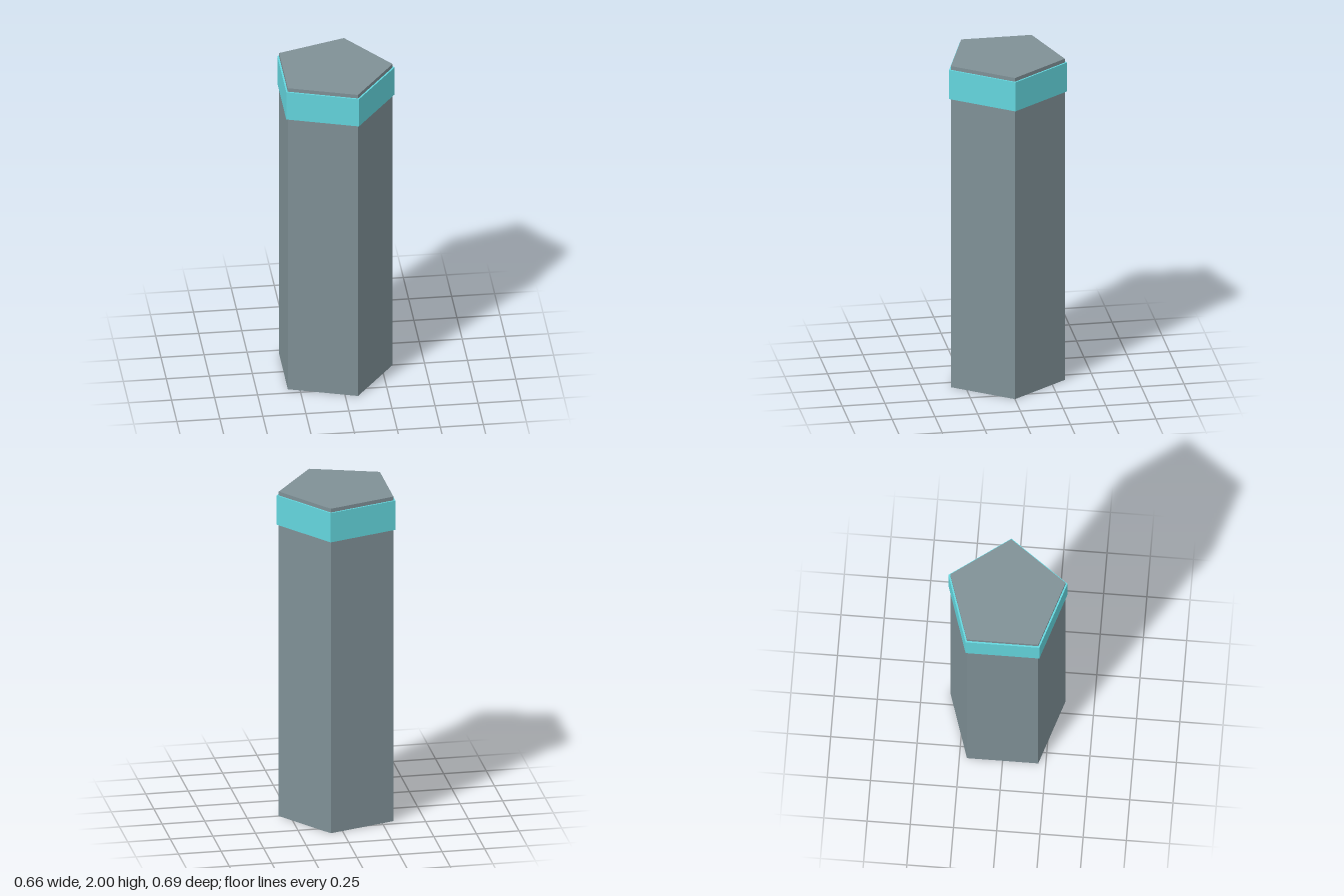
import * as THREE from 'three';

const SIDES = 5;
const CENTER_X = -0.0355; // centres the pentagon's width on x = 0

// Upright pentagonal prism with one corner pointing to +x
function prism(name, radius, bottom, top, material) {
  const geometry = new THREE.CylinderGeometry(radius, radius, top - bottom, SIDES, 1, false, Math.PI / 2);
  const mesh = new THREE.Mesh(geometry, material);
  mesh.name = name;
  mesh.position.set(CENTER_X, (top + bottom) / 2, 0);
  return mesh;
}

export function createModel() {
  const stone = new THREE.MeshStandardMaterial({ color: 0x7f9096 });
  stone.name = 'slate grey';
  stone.flatShading = true;
  const glow = new THREE.MeshStandardMaterial({ color: 0x64d6de });
  glow.name = 'cyan';
  glow.flatShading = true;

  const group = new THREE.Group();
  group.name = 'pentagonalPillar';
  // Tall shaft and the raised band just below its top
  group.add(prism('shaft', 0.3505, 0, 2, stone));
  group.add(prism('band', 0.3627, 1.797, 1.977, glow));
  return group;
}
